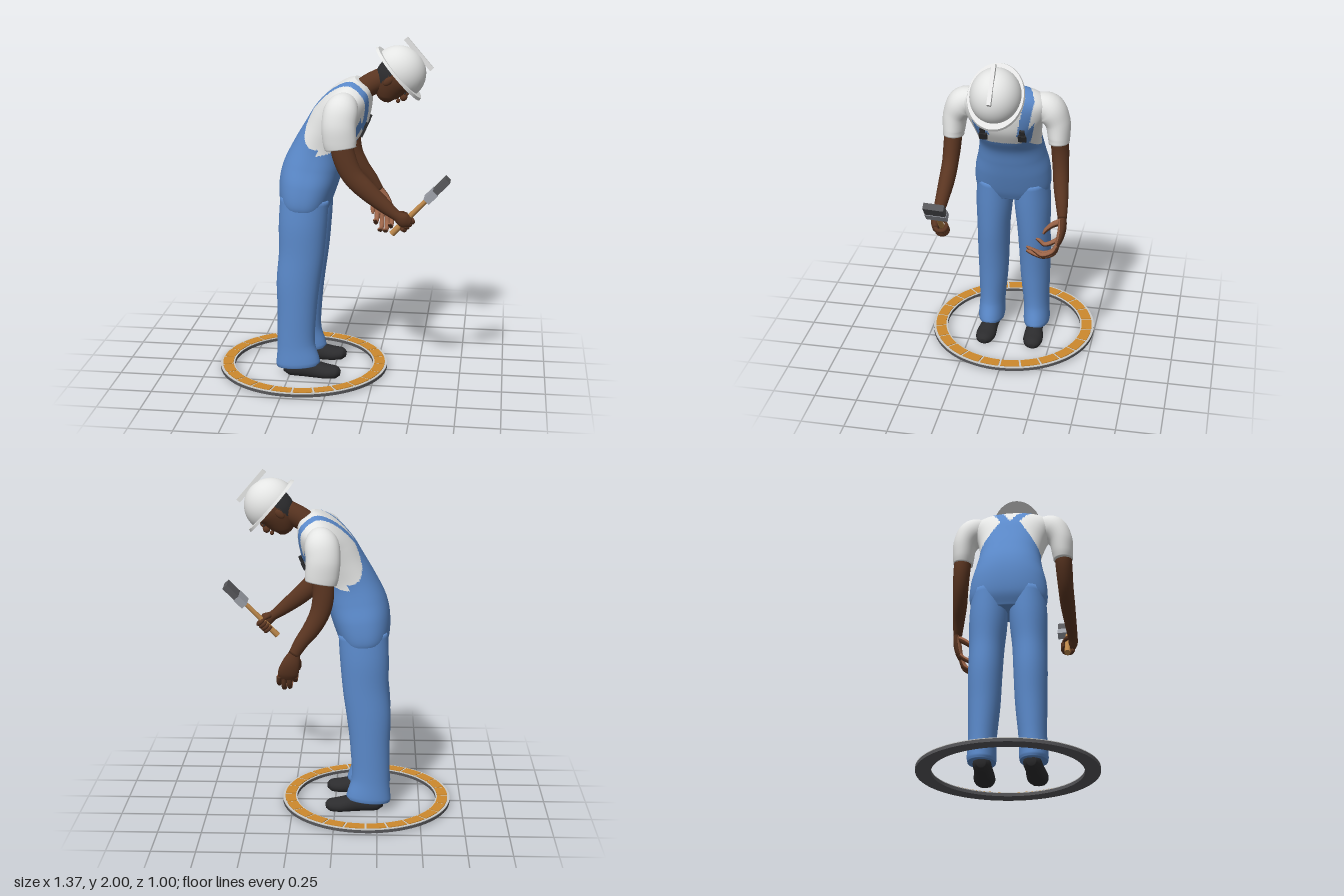
import * as THREE from 'three';

const paint = (name, color) => {
  const m = new THREE.MeshStandardMaterial({ color });
  m.name = name;
  return m;
};
const M = {
  denim: paint('denim blue', 0x5b8acb), white: paint('white', 0xe4e5e4), skin: paint('skin', 0x5a3521),
  palm: paint('palm', 0x9c6549), dark: paint('black', 0x2c2c2e), wood: paint('wood', 0xb98549),
  orange: paint('orange', 0xcd892d), metal: paint('metal', 0x9b9ea6), grey: paint('dark grey', 0x57575a),
  rim: paint('light grey', 0xc9cac8),
};
const V = (x, y, z) => new THREE.Vector3(x, y, z);

// Skin over rings of points; pick(centre, u) chooses material 0 or 1 for each face
function skin(rings, pick = () => 0) {
  const n = rings[0].length, pts = rings.flat(), lists = [[], []];
  const last = rings.length - 1;
  const ends = [rings[0], rings[last]].map(r => {
    pts.push(r.reduce((s, p) => s.add(p), V(0, 0, 0)).divideScalar(n));
    return pts.length - 1;
  });
  const face = (a, b, c, u) => {
    const mid = V(0, 0, 0).add(pts[a]).add(pts[b]).add(pts[c]).divideScalar(3);
    lists[pick(mid, u)].push(a, b, c);
  };
  for (let j = 0; j < n; j++) {
    const k = (j + 1) % n, u = (j + 0.5) / n;
    for (let i = 0; i < last; i++) {
      const a = i * n + j, b = i * n + k;
      face(a, b, a + n, u);
      face(b, b + n, a + n, u);
    }
    face(ends[0], k, j, u);
    face(ends[1], last * n + j, last * n + k, u);
  }
  const g = new THREE.BufferGeometry().setFromPoints(pts);
  g.setIndex([...lists[0], ...lists[1]]);
  g.addGroup(0, lists[0].length, 0);
  g.addGroup(lists[0].length, lists[1].length, 1);
  g.computeVertexNormals();
  return g;
}

// Rounded limb through stations [x, y, z, radius along ref, other radius]
function limb(st, ref = V(0, 0, 1), pick, around = 20, steps = 6) {
  const path = new THREE.CatmullRomCurve3(st.map(s => V(s[0], s[1], s[2])));
  const size = new THREE.CatmullRomCurve3(st.map(s => V(s[3], s[4] ?? s[3], 0)), false, 'catmullrom');
  const rings = [], N = (st.length - 1) * steps;
  for (let i = 0; i <= N; i++) {
    const c = path.getPoint(i / N), r = size.getPoint(i / N), t = path.getTangent(i / N);
    const n1 = ref.clone().addScaledVector(t, -ref.dot(t)).normalize();
    const n2 = t.clone().cross(n1);
    rings.push(Array.from({ length: around }, (_, j) => {
      const a = j / around * Math.PI * 2;
      return c.clone().addScaledVector(n1, r.x * Math.cos(a)).addScaledVector(n2, r.y * Math.sin(a));
    }));
  }
  return skin(rings, pick);
}

function annulus(ri, ro, a0, a1, h) {
  const s = new THREE.Shape();
  s.absarc(0, 0, ro, a0, a1, false);
  if (a1 - a0 > 6) s.holes.push(new THREE.Path().absarc(0, 0, ri, 0, Math.PI * 2, true));
  else s.absarc(0, 0, ri, a1, a0, true);
  return new THREE.ExtrudeGeometry(s, { depth: h, bevelEnabled: false, curveSegments: a1 - a0 > 6 ? 96 : 6 })
    .rotateX(-Math.PI / 2);
}

export function createModel() {
  const root = new THREE.Group();
  const add = (name, geo, mat, pos = [0, 0, 0], parent = root) => {
    const m = new THREE.Mesh(geo, mat);
    m.name = name;
    m.position.set(...pos);
    parent.add(m);
    return m;
  };
  const ball = (name, mat, pos, scale, parent = root) =>
    add(name, new THREE.SphereGeometry(1, 20, 14), mat, pos, parent).scale.set(...scale);
  const X = V(1, 0, 0);

  // Floor ring with 24 orange tiles
  add('ringBase', annulus(0.415, 0.5, 0, Math.PI * 2, 0.018), M.grey, [-0.185, 0.01, 0]);
  add('ringTop', annulus(0.415, 0.5, 0, Math.PI * 2, 0.004), M.rim, [-0.185, 0.028, 0]);
  for (let i = 0; i < 24; i++) {
    const a = i * Math.PI / 12;
    add('ringTile', annulus(0.424, 0.486, a + 0.013, a + Math.PI / 12 - 0.013, 0.004), M.orange, [-0.185, 0.032, 0]);
  }

  // Torso: [back x, back y, front x, front y, half width], bib and straps coloured by position
  const torso = [
    [-0.28, 0.97, -0.05, 0.97, 0.19], [-0.312, 1.05, -0.02, 1.03, 0.222], [-0.315, 1.17, 0.02, 1.14, 0.218],
    [-0.29, 1.28, 0.05, 1.24, 0.195], [-0.23, 1.4, 0.08, 1.33, 0.18], [-0.165, 1.51, 0.135, 1.41, 0.19],
    [-0.11, 1.6, 0.185, 1.49, 0.21], [-0.05, 1.67, 0.205, 1.56, 0.235], [0.01, 1.72, 0.215, 1.63, 0.23],
    [0.07, 1.755, 0.215, 1.68, 0.17], [0.12, 1.772, 0.208, 1.715, 0.075],
  ];
  const side = k => new THREE.CatmullRomCurve3(torso.map(s => V(s[k], s[k + 1], s[4])), false, 'catmullrom');
  const back = side(0), front = side(2), rings = [];
  const pw = v => Math.sign(v) * Math.abs(v) ** 0.85;
  for (let i = 0; i <= 130; i++) {
    const b = back.getPoint(i / 130), f = front.getPoint(i / 130);
    rings.push(Array.from({ length: 140 }, (_, j) => {
      const a = j / 140 * Math.PI * 2, p = b.clone().lerp(f, 0.5 + 0.5 * pw(Math.cos(a)));
      return p.setZ(-b.z * pw(Math.sin(a)));
    }));
  }
  const shirt = (p, u) => {
    const z = Math.abs(p.z), isFront = Math.cos(u * Math.PI * 2) > 0;
    if (p.y < 1.33) return 0;
    if (isFront && p.y < 1.42 && z < 0.135 + (1.42 - p.y) * 0.6) return 0;
    if (!isFront && p.y < 1.6 && z < 0.055 + (1.6 - p.y) * 0.56) return 0;
    const strap = p.x > 0.17 && isFront ? 0.11 + (p.y - 1.5) * 0.2 : 0.04 + (p.x + 0.09) * 0.42;
    return p.y > 1.42 && Math.abs(z - strap) < 0.028 && (isFront || p.y > 1.55) ? 0 : 1;
  };
  add('torso', skin(rings, shirt), [M.denim, M.white]);

  for (const s of [1, -1]) {
    // Trouser leg
    add('trouserLeg', limb([
      [-0.16, 1.08, 0.112 * s, 0.1, 0.14], [-0.17, 0.92, 0.115 * s, 0.108, 0.14], [-0.178, 0.75, 0.122 * s, 0.099, 0.132],
      [-0.197, 0.58, 0.127 * s, 0.095, 0.127], [-0.205, 0.4, 0.13 * s, 0.089, 0.115],
      [-0.21, 0.2, 0.138 * s, 0.078, 0.111], [-0.2, 0.09, 0.142 * s, 0.08, 0.13], [-0.198, 0.065, 0.142 * s, 0.076, 0.127],
    ], undefined, undefined, 32), M.denim);
    // Shoe with flattened sole
    const shoe = limb([
      [-0.285, 0.045, 0.135 * s, 0.025, 0.025], [-0.25, 0.05, 0.136 * s, 0.048, 0.05], [-0.14, 0.05, 0.14 * s, 0.05, 0.055],
      [-0.03, 0.035, 0.147 * s, 0.06, 0.045], [0.03, 0.035, 0.15 * s, 0.045, 0.035], [0.053, 0.032, 0.15 * s, 0.018, 0.016],
    ]);
    const p = shoe.attributes.position;
    for (let i = 0; i < p.count; i++) p.setY(i, Math.max(p.getY(i), 0.005));
    shoe.translate(0, -0.005, 0).computeVertexNormals();
    add('shoe', shoe, M.dark);
    // Sleeve
    add('sleeve', limb([
      [0.09, 1.655, 0.15 * s, 0.06, 0.06], [0.07, 1.625, 0.24 * s, 0.095, 0.085], [0.06, 1.55, 0.288 * s, 0.096, 0.072],
      [0.066, 1.46, 0.3 * s, 0.094, 0.063], [0.072, 1.42, 0.302 * s, 0.088, 0.058],
    ], X, undefined, 28), M.white);
    // Strap buckle
    add('strapBuckle', new THREE.BoxGeometry(0.015, 0.045, 0.045), M.dark, [0.176, 1.472, 0.11 * s]).rotation.z = -0.45;
    add('strapClip', new THREE.BoxGeometry(0.015, 0.035, 0.028), M.dark, [0.192, 1.512, 0.112 * s]).rotation.z = -0.4;
  }

  // Right arm, bent forward
  add('rightArm', limb([
    [0.07, 1.48, 0.3, 0.05, 0.06], [0.09, 1.38, 0.305, 0.05, 0.065], [0.14, 1.27, 0.31, 0.046, 0.06],
    [0.22, 1.19, 0.315, 0.044, 0.055], [0.33, 1.1, 0.325, 0.035, 0.04], [0.39, 1.055, 0.33, 0.03, 0.03],
    [0.43, 1.03, 0.33, 0.027, 0.042], [0.465, 1.015, 0.325, 0.015, 0.025],
  ]), M.skin);

  // Brush, built along its own y axis
  const brush = new THREE.Group();
  brush.name = 'brush';
  brush.position.set(0.36, 0.94, 0.298);
  const axis = V(0.69, 0.72, -0.05).normalize();
  brush.rotation.set(-0.05, 0, -0.764);
  root.add(brush);
  add('handle', new THREE.CylinderGeometry(0.013, 0.018, 0.29, 16), M.wood, [0, 0.145, 0], brush);
  add('ferrule', new THREE.BoxGeometry(0.042, 0.07, 0.118), M.metal, [0, 0.312, 0], brush);
  add('bristles', new THREE.BoxGeometry(0.036, 0.1, 0.114), M.grey, [0, 0.394, 0], brush);

  // Right fingers curled around the handle
  for (let i = 0; i < 4; i++) {
    const c = brush.position.clone().addScaledVector(axis, 0.07 + i * 0.021);
    add('rightFinger', limb([[0.012, 0.037], [0.032, 0.02], [0.03, -0.015], [0.005, -0.028], [-0.018, -0.02]].map(
      ([u, z], k) => [c.x + u * 0.72, c.y - u * 0.69, c.z + z, k < 4 ? 0.012 : 0.008]), axis, undefined, 10, 4), M.skin);
  }
  add('rightThumb', limb([[0.4, 1.06, 0.33, 0.017], [0.415, 1.06, 0.295, 0.014], [0.44, 1.05, 0.27, 0.009]],
    V(0, 1, 0), undefined, 10), M.skin);

  // Left arm, hanging
  add('leftArm', limb([
    [0.07, 1.48, -0.3, 0.05, 0.06], [0.058, 1.36, -0.308, 0.05, 0.06], [0.075, 1.26, -0.315, 0.046, 0.056],
    [0.12, 1.17, -0.325, 0.043, 0.05], [0.18, 1.09, -0.34, 0.035, 0.04], [0.222, 1.02, -0.35, 0.026, 0.032],
  ]), M.skin);
  // Left hand, with a lighter palm side
  const inner = (p, u) => (u > 0.04 && u < 0.46 ? 1 : 0);
  const hand = [M.skin, M.palm];
  add('leftHand', limb([
    [0.215, 1.035, -0.35, 0.03, 0.022], [0.238, 0.97, -0.353, 0.05, 0.024], [0.255, 0.91, -0.343, 0.058, 0.021],
    [0.26, 0.873, -0.33, 0.05, 0.014],
  ], X, inner), hand);
  [[0.215, 0.86, -0.2], [0.246, 0.82, -0.15], [0.277, 0.815, -0.155], [0.305, 0.84, -0.19]].forEach(([x, y, z]) =>
    add('leftFinger', limb([
      [x, 0.89, -0.335, 0.015], [x + 0.004, y + 0.01, -0.312, 0.0145], [x + 0.004, y - 0.018, -0.25, 0.013],
      [x, y + 0.003, z - 0.02, 0.011], [x - 0.002, y + 0.012, z, 0.006],
    ], X, inner, 12), hand));
  add('leftThumb', limb([
    [0.215, 0.995, -0.34, 0.02], [0.2, 0.96, -0.29, 0.017], [0.198, 0.925, -0.255, 0.013], [0.2, 0.9, -0.24, 0.007],
  ], X, inner, 12), hand);

  // Neck
  add('neck', limb([[0.11, 1.66, 0, 0.06], [0.2, 1.725, 0, 0.064], [0.3, 1.775, 0, 0.064]]), M.skin);

  // Head, tipped forward; local x is the face direction
  const head = new THREE.Group();
  head.name = 'head';
  head.position.set(0.365, 1.795, 0);
  head.rotation.z = -0.86;
  root.add(head);
  add('skull', limb([
    [0.08, -0.158, 0, 0.02, 0.02], [0.06, -0.138, 0, 0.06, 0.05], [0.028, -0.09, 0, 0.093, 0.076],
    [0.008, -0.04, 0, 0.113, 0.09], [0, 0.04, 0, 0.115, 0.092],
  ], X, p => (p.x < -0.028 && p.y > -0.105 ? 1 : 0), 48, 10), [M.skin, M.dark], [0, 0, 0], head);
  ball('nose', M.skin, [0.123, -0.068, 0], [0.02, 0.022, 0.018], head);
  ball('noseBridge', M.skin, [0.117, -0.046, 0], [0.013, 0.03, 0.01], head);
  ball('lips', M.skin, [0.118, -0.105, 0], [0.012, 0.012, 0.026], head);
  for (const s of [1, -1]) {
    ball('ear', M.skin, [-0.01, -0.062, 0.087 * s], [0.02, 0.032, 0.012], head);
    ball('eye', M.dark, [0.107, -0.042, 0.036 * s], [0.006, 0.005, 0.013], head);
    ball('eyebrow', M.dark, [0.107, -0.024, 0.038 * s], [0.007, 0.004, 0.02], head);
  }
  // Hard hat
  add('hatDome', new THREE.SphereGeometry(1, 40, 20, 0, Math.PI * 2, 0, Math.PI / 2), M.white, [-0.002, 0, 0], head)
    .scale.set(0.155, 0.155, 0.14);
  add('hatBrim', new THREE.CylinderGeometry(0.97, 1, 1, 48), M.white, [0, 0, 0], head).scale.set(0.192, 0.016, 0.157);
  add('hatRidge', new THREE.BoxGeometry(0.228, 0.026, 0.022), M.white, [-0.012, 0.157, 0], head);
  return root;
}
